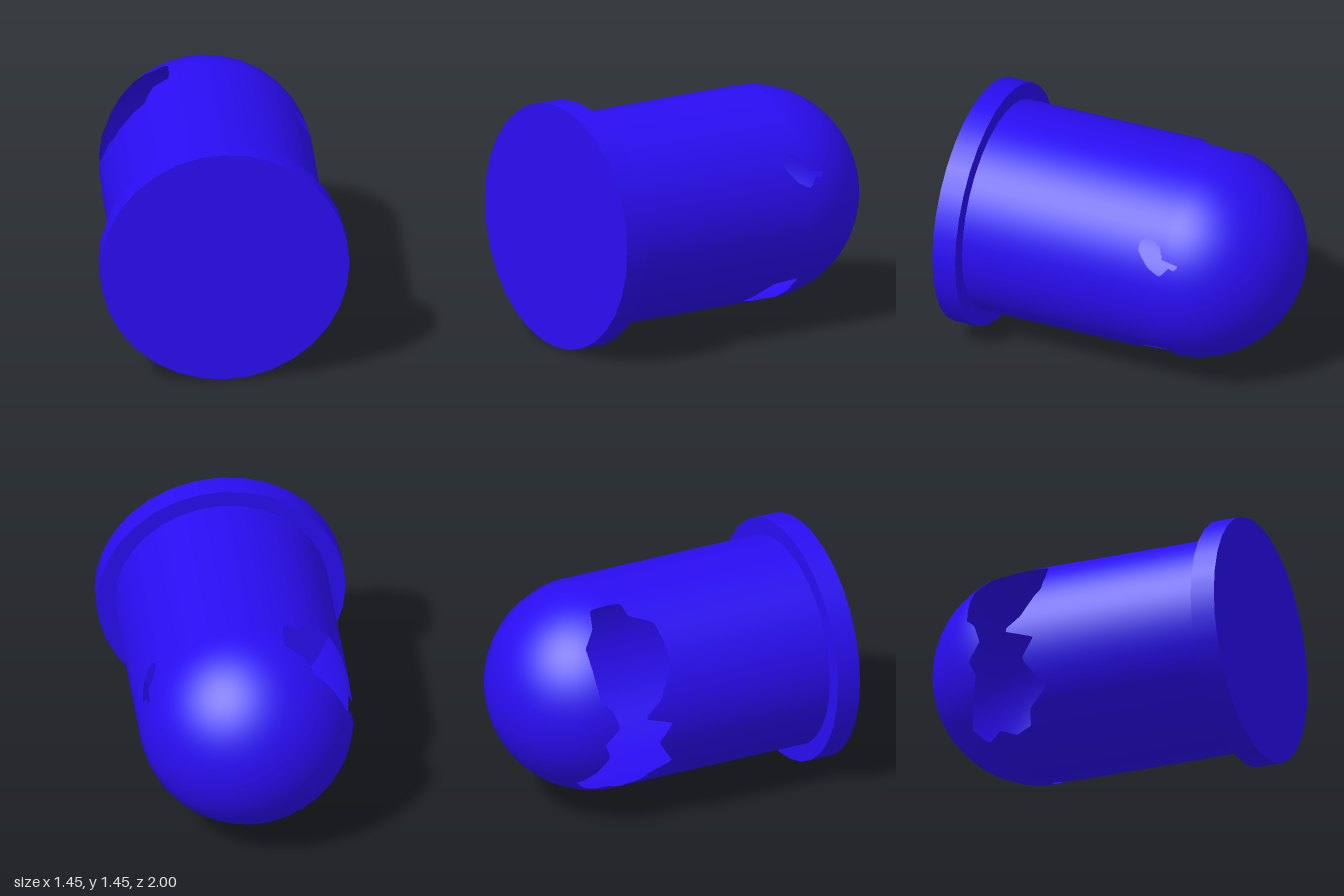
import * as THREE from 'three';

const CY = 0.73, R = 0.625, SEAM = -0.38, DOME = 0.62, FRONT = 0.86, SIDES = 32;

// Broken openings as outlines of [angle in degrees, z]; angle 0 is +x, 90 is up
const largeBreak = [
  [70, -0.38], [69, -0.31], [60, -0.3], [53, -0.17], [40, -0.15], [28, -0.15], [10, -0.25], [2, -0.36],
  [-4, -0.17], [-15, -0.25], [-32, -0.13], [-42, -0.25], [-52, -0.28], [-56, -0.38],
  [-52, -0.47], [-60, -0.57], [-52, -0.66], [-40, -0.62], [-20, -0.55], [-11, -0.59], [-1, -0.51],
  [10, -0.55], [16, -0.61], [31, -0.62], [48, -0.62], [58, -0.54], [70, -0.5],
].map(([a, z]) => [180 - a, z]);
const upperBreak = [
  [31, -0.23], [35, -0.28], [30, -0.36], [24, -0.375], [22, -0.49], [19, -0.46], [20, -0.43], [14, -0.38], [18, -0.3], [26, -0.23],
];
const lowerBreak = [[-42, -0.38], [-44, -0.22], [-57, -0.14], [-63, -0.12], [-70, -0.28], [-73, -0.38]];
// Scale angles to surface length so distances are even
const K = R * Math.PI / 180;
const breaks = [largeBreak, upperBreak, lowerBreak].map(b => b.map(([a, z]) => [a * K, z]));

function inside(x, y) {
  return breaks.some(b => {
    let hit = false;
    b.forEach(([x1, y1], i) => {
      const [x2, y2] = b[(i + 1) % b.length];
      if ((y1 > y) !== (y2 > y) && x < x1 + (y - y1) / (y2 - y1) * (x2 - x1)) hit = !hit;
    });
    return hit;
  });
}

// Nearest point on any opening's outline
function snap(x, y) {
  let best = [x, y], bestD = Infinity;
  for (const b of breaks) b.forEach(([x1, y1], i) => {
    const [x2, y2] = b[(i + 1) % b.length], dx = x2 - x1, dy = y2 - y1;
    const t = THREE.MathUtils.clamp(((x - x1) * dx + (y - y1) * dy) / (dx * dx + dy * dy), 0, 1);
    const px = x1 + t * dx, py = y1 + t * dy, d = Math.hypot(x - px, y - py);
    if (d < bestD) { bestD = d; best = [px, py]; }
  });
  return best;
}

// Curved sheet over the given z rows, leaving out the openings
function brokenSheet(rows) {
  const cols = SIDES * 6, n = rows.length - 1;
  const grid = rows.map(z => Array.from({ length: cols + 1 }, (_, i) => [(-90 + 360 * i / cols) * K, z]));
  const keep = (j, i) => !inside((grid0[j][i][0] + grid0[j][i + 1][0]) / 2, (rows[j] + rows[j + 1]) / 2);
  const grid0 = grid.map(r => r.map(p => [...p]));
  const index = [], touch = new Map(), W = cols + 1;
  for (let j = 0; j < n; j++) for (let i = 0; i < cols; i++) {
    const a = j * W + i, b = a + 1, c = a + W, d = c + 1, k = keep(j, i);
    if (k) index.push(a, c, b, b, c, d);
    for (const v of [a, b, c, d]) touch.set(v, (touch.get(v) || 0) | (k ? 1 : 2));
  }
  const pos = [], nor = [], step = 2 * Math.PI / SIDES;
  grid.forEach((row, j) => row.forEach((p, i) => {
    let [s, z] = p;
    if (touch.get(j * W + i) === 3) {
      [s, z] = snap(s, z);
      if (j === 0 || j === n) z = p[1];
    }
    const a = s / K * Math.PI / 180;
    const q = Math.min(1, Math.max(0, (SEAM - z) / DOME));
    const ring = Math.sqrt(1 - q * q);
    // keep the straight sides of the round cross-section
    const off = ((a + Math.PI / 2) % step + step) % step - step / 2;
    const r = R * ring * Math.cos(step / 2) / Math.cos(off);
    pos.push(r * Math.cos(a), CY + r * Math.sin(a), z);
    nor.push(ring * Math.cos(a), ring * Math.sin(a), -q);
  }));
  const g = new THREE.BufferGeometry();
  g.setAttribute('position', new THREE.Float32BufferAttribute(pos, 3));
  g.setAttribute('normal', new THREE.Float32BufferAttribute(nor, 3));
  g.setIndex(index);
  return g;
}

export function createModel() {
  const group = new THREE.Group();
  const mat = new THREE.MeshStandardMaterial({ color: 0x2a0df2, side: THREE.DoubleSide });
  const add = (name, geometry) => {
    const m = new THREE.Mesh(geometry, mat);
    m.name = name;
    group.add(m);
    return m;
  };

  // Tube wall and rounded end, broken open along their seam
  const line = (count, f) => Array.from({ length: count + 1 }, (_, i) => f(i / count));
  add('tubeWall', brokenSheet(line(60, t => FRONT + (SEAM - FRONT) * t)));
  add('roundedEnd', brokenSheet(line(48, t => SEAM - DOME * Math.sin(t * Math.PI / 2))));

  // Wide flange closing the front
  const flange = add('frontFlange', new THREE.CylinderGeometry(0.724, 0.724, 0.145, SIDES).rotateX(Math.PI / 2));
  flange.position.set(0, CY, 0.9275);

  // Floor inside the tube
  const floor = add('innerFloor', new THREE.CircleGeometry(R - 0.006, SIDES));
  floor.position.set(0, CY, 0.6);
  return group;
}
